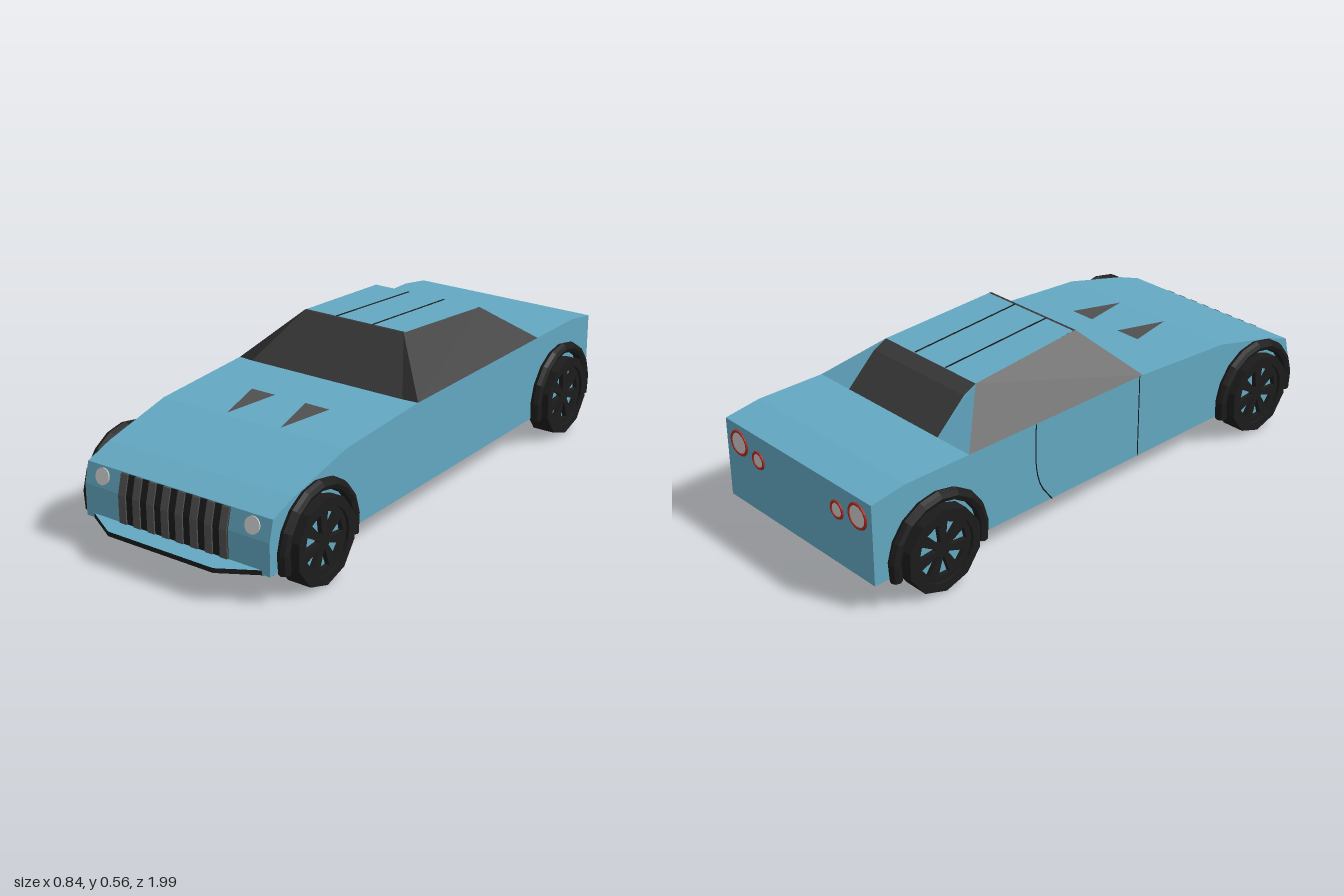
import * as THREE from 'three';

const mat = (color, side = THREE.FrontSide) =>
  new THREE.MeshStandardMaterial({ color, side, flatShading: true });
const paint = mat(0x63a8c2), black = mat(0x1c1c1c), grey = mat(0x505050);
const paintPanel = mat(0x63a8c2, THREE.DoubleSide);
const glass = mat(0x383838, THREE.DoubleSide), pillarBlack = mat(0x282828, THREE.DoubleSide);
const ventGrey = mat(0x505050, THREE.DoubleSide);
const lamp = mat(0xc4c4c4), red = mat(0xb02a1c);

const HALF = 0.367;

function add(parent, name, geometry, material) {
  const mesh = new THREE.Mesh(geometry, material);
  mesh.name = name;
  parent.add(mesh);
  return mesh;
}

const shapeOf = (pts) => new THREE.Shape(pts.map(([a, b]) => new THREE.Vector2(a, b)));

// Extrudes a (z, y) outline sideways from x0 to x1
function sideExtrude(shape, x0, x1) {
  const g = new THREE.ExtrudeGeometry(shape, { depth: x1 - x0, bevelEnabled: false, curveSegments: 10 });
  return g.rotateY(-Math.PI / 2).translate(x1, 0, 0);
}

// Flat convex panel through a loop of [x, y, z] corners
function panel(...corners) {
  const pos = [];
  for (let i = 1; i < corners.length - 1; i++) pos.push(...corners[0], ...corners[i], ...corners[i + 1]);
  const g = new THREE.BufferGeometry();
  g.setAttribute('position', new THREE.Float32BufferAttribute(pos, 3));
  g.computeVertexNormals();
  return g;
}

// Regular polygon outline, first corner at the top
function ring(radius, sides) {
  return Array.from({ length: sides }, (_, i) => {
    const a = Math.PI / 2 + (i / sides) * Math.PI * 2;
    return new THREE.Vector2(radius * Math.cos(a), radius * Math.sin(a));
  });
}

// Wheel facing +x: tyre, spoked plate and painted disc behind the openings
function makeWheel() {
  const wheel = new THREE.Group();
  const tyre = new THREE.Shape(ring(0.145, 10));
  tyre.holes.push(new THREE.Path(ring(0.112, 20)));
  add(wheel, 'tyre', sideExtrude(tyre, -0.042, 0.043), black);

  const spokes = new THREE.Shape(ring(0.114, 20));
  const count = 7;
  for (let i = 0; i < count; i++) {
    const a = Math.PI / 2 + ((i + 0.5) / count) * Math.PI * 2;
    const at = (r, d) => new THREE.Vector2(r * Math.cos(a + d), r * Math.sin(a + d));
    spokes.holes.push(new THREE.Path([at(0.028, -0.1), at(0.094, -0.25), at(0.094, 0.25), at(0.028, 0.1)]));
  }
  add(wheel, 'spokes', sideExtrude(spokes, 0.015, 0.032), black);
  add(wheel, 'rimDisc', sideExtrude(new THREE.Shape(ring(0.113, 20)), -0.04, 0.012), paint);
  return wheel;
}

// Rounded fender flare arching over a wheel, ends level with the sill
function flareGeometry() {
  const pts = [];
  for (let i = 0; i <= 10; i++) {
    const a = -0.26 + (i / 10) * (Math.PI + 0.52);
    pts.push(new THREE.Vector3(0, 0.176 * Math.sin(a), 0.176 * Math.cos(a)));
  }
  const path = new THREE.CurvePath();
  for (let i = 0; i < 10; i++) path.add(new THREE.LineCurve3(pts[i], pts[i + 1]));
  return new THREE.TubeGeometry(path, 20, 0.02, 8, false);
}

export function createModel() {
  const car = new THREE.Group();
  car.name = 'car';

  // Body shell
  const profile = [[0.918, 0.1], [0.918, 0.21], [0.9, 0.28], [0.8, 0.315], [0.54, 0.377],
    [0.15, 0.4], [-0.87, 0.4], [-1, 0.38], [-1, 0.1]];
  add(car, 'body', sideExtrude(shapeOf(profile), -HALF, HALF), paint);

  // Front splitter: painted faces with a black rim
  const lip = shapeOf([[-HALF, -0.9], [HALF, -0.9], [0.21, -0.99], [-0.21, -0.99]]);
  const lipGeo = new THREE.ExtrudeGeometry(lip, { depth: 0.016, bevelEnabled: false });
  add(car, 'splitter', lipGeo.rotateX(-Math.PI / 2).translate(0, 0.098, 0), [paint, black]);

  // Roof and glasshouse
  const F = 0.204, R = 0.22;
  add(car, 'roof', panel([-F, 0.56, -0.015], [F, 0.56, -0.015], [R, 0.53, -0.46], [-R, 0.53, -0.46]), paintPanel);
  add(car, 'windshield', panel([-0.31, 0.4, 0.15], [0.31, 0.4, 0.15], [F, 0.56, -0.01], [-F, 0.56, -0.01]), glass);
  add(car, 'windshieldEdge', panel([-F, 0.56, -0.01], [F, 0.56, -0.01], [F, 0.56, -0.02], [-F, 0.56, -0.02]), glass);
  add(car, 'rearWindowTop', panel([-R, 0.53, -0.46], [R, 0.53, -0.46], [R, 0.505, -0.51], [-R, 0.505, -0.51]), glass);
  add(car, 'rearWindow', panel([-R, 0.505, -0.51], [R, 0.505, -0.51], [R, 0.4, -0.62], [-R, 0.4, -0.62]), glass);
  for (const s of [-1, 1]) {
    const top = [s * R, 0.53, -0.46], knee = [s * R, 0.505, -0.51];
    const corner = [s * HALF, 0.4, -0.62];
    add(car, 'frontPillar', panel([s * 0.31, 0.4, 0.15], [s * HALF, 0.4, 0.145], [s * F, 0.56, -0.01]), pillarBlack);
    add(car, 'sideWindow', panel([s * HALF, 0.4, 0.145], [s * F, 0.56, -0.01], top, corner), glass);
    add(car, 'rearPillar', panel(top, knee, [s * R, 0.4, -0.62], corner), paintPanel);

    // Roof seam, following the roof slope
    const seam = add(car, 'roofSeam', new THREE.BoxGeometry(0.005, 0.004, 0.44), black);
    seam.position.set(s * 0.075, 0.545, -0.238);
    seam.rotation.x = -Math.atan(0.03 / 0.445);

    // Hood vent
    add(car, 'hoodVent', panel([s * 0.062, 0.3915, 0.34], [s * 0.158, 0.3915, 0.34], [s * 0.108, 0.3805, 0.53]), ventGrey);

    // Headlight, leaning back with the nose
    const light = add(car, 'headlight', new THREE.CylinderGeometry(0.028, 0.028, 0.008, 24), lamp);
    light.position.set(s * 0.298, 0.247, 0.909);
    light.rotation.x = Math.PI / 2 - 0.25;

    // Tail lights: grey lens in a red ring
    for (const [x, y, r] of [[0.3, 0.315, 0.04], [0.2, 0.293, 0.027]]) {
      const lens = add(car, 'tailLens', new THREE.CylinderGeometry(r, r, 0.006, 24), lamp);
      lens.position.set(s * x, y, -0.999);
      lens.rotation.x = Math.PI / 2;
      add(car, 'tailRing', new THREE.TorusGeometry(r, 0.006, 6, 24), red).position.set(s * x, y, -0.999);
    }

    // Wheels and flares
    for (const [end, z] of [['front', 0.705], ['rear', -0.765]]) {
      const wheel = makeWheel();
      wheel.name = end + 'Wheel';
      wheel.position.set(s * 0.375, 0.145, z);
      if (s < 0) wheel.rotation.y = Math.PI;
      car.add(wheel);
      add(car, end + 'Flare', flareGeometry(), black).position.set(s * 0.388, 0.146, z);
    }
  }

  // Grille: dark backing with upright bars that follow the nose
  const slab = (d) => shapeOf([[0.89, 0.115], [0.918 + d, 0.115], [0.918 + d, 0.21], [0.9 + d, 0.278], [0.89, 0.278]]);
  add(car, 'grille', sideExtrude(slab(0.002), -0.222, 0.21), black);
  for (let i = 0; i < 8; i++) {
    const x = -0.222 + i * 0.0576;
    add(car, 'grilleBar', sideExtrude(slab(0.007), x, x + 0.0285), grey);
  }

  // Door gaps on the right side
  const gap = (pts) => new THREE.TubeGeometry(
    new THREE.CatmullRomCurve3(pts.map(([z, y]) => new THREE.Vector3(-HALF, y, z))), 10, 0.0022, 4);
  add(car, 'doorGapFront', gap([[0.13, 0.4], [0.13, 0.1]]), black);
  add(car, 'doorGapRear', gap([[-0.34, 0.4], [-0.34, 0.25], [-0.32, 0.17], [-0.27, 0.1]]), black);

  return car;
}
